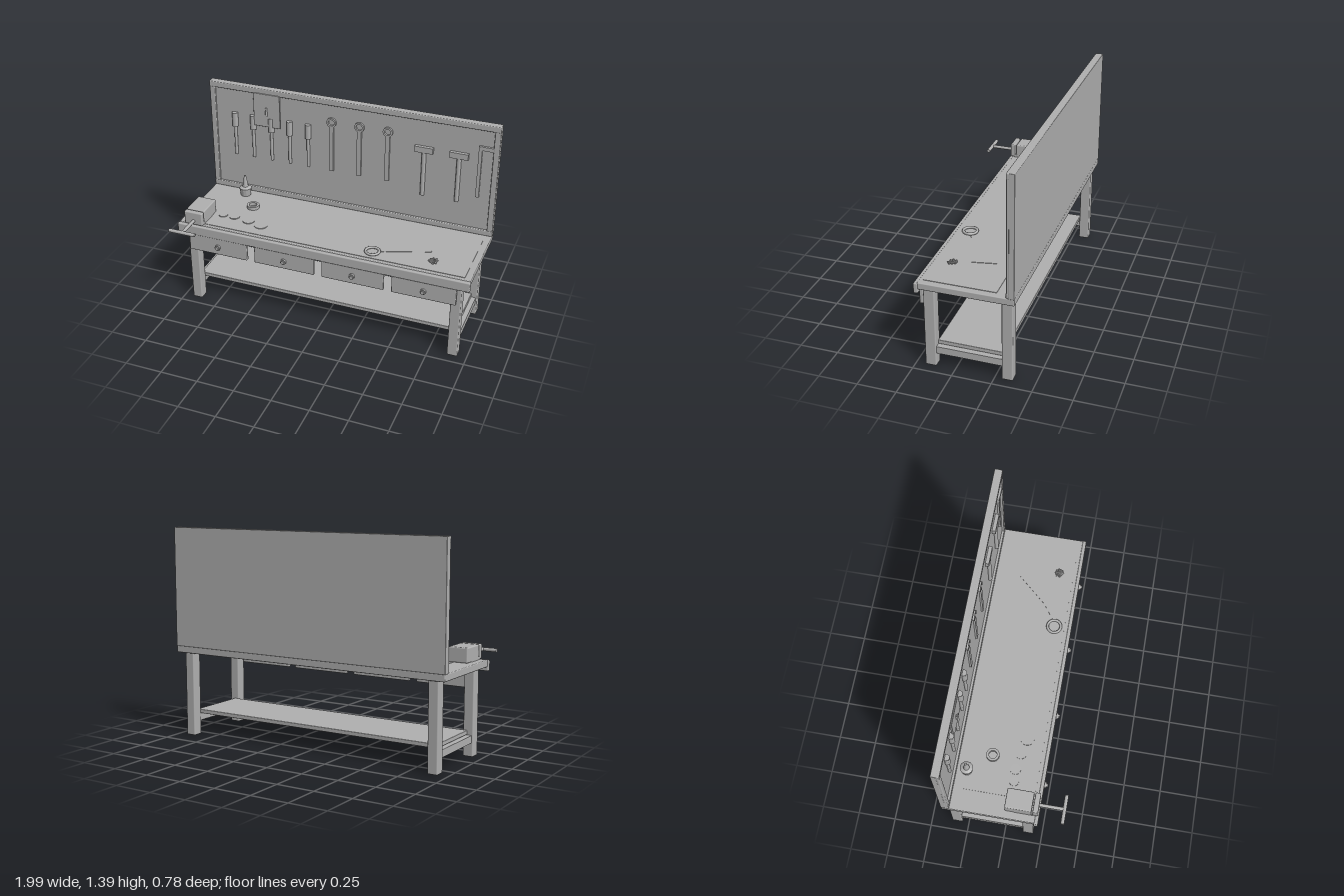
import * as THREE from 'three';
import { RoundedBoxGeometry } from 'three/addons/geometries/RoundedBoxGeometry.js';

export function createModel() {
  const group = new THREE.Group();
  const grey = new THREE.MeshStandardMaterial({ color: 0xb0b0b0 });
  grey.name = 'workshopGrey';

  const add = (name, geometry, x = 0, y = 0, z = 0) => {
    const mesh = new THREE.Mesh(geometry, grey);
    mesh.name = name;
    mesh.position.set(x, y, z);
    group.add(mesh);
    return mesh;
  };
  // Box given by its limits on each axis, with an optional rounded edge
  const box = (name, x0, x1, y0, y1, z0, z1, r = 0) => {
    const size = [x1 - x0, y1 - y0, z1 - z0];
    const geometry = r ? new RoundedBoxGeometry(...size, 2, r) : new THREE.BoxGeometry(...size);
    return add(name, geometry, (x0 + x1) / 2, (y0 + y1) / 2, (z0 + z1) / 2);
  };
  // Cylinder along a chosen axis
  const rod = (name, r, length, x, y, z, axis = 'y', sides = 16) => {
    const geometry = new THREE.CylinderGeometry(r, r, length, sides);
    if (axis === 'x') geometry.rotateZ(Math.PI / 2);
    if (axis === 'z') geometry.rotateX(Math.PI / 2);
    return add(name, geometry, x, y, z);
  };
  // Flat ring with a square section, turned about y
  const ringGeometry = (outer, inner, height) => new THREE.LatheGeometry(
    [[inner, 0], [outer, 0], [outer, 0], [outer, height], [outer, height], [inner, height], [inner, height], [inner, 0]]
      .map(([r, y]) => new THREE.Vector2(r, y)), 32);

  // Table
  box('tableTop', -0.99, 0.99, 0.56, 0.605, -0.388, 0.205, 0.006);
  box('frontApron', -0.995, 0.995, 0.533, 0.602, 0.198, 0.227, 0.008);
  box('workMat', -0.85, 0.95, 0.604, 0.608, -0.27, 0.18);

  // Legs, side stretchers and lower shelf
  for (const side of [-1, 1]) {
    const x = side * 0.905;
    box('frontLeg', x - 0.034, x + 0.034, 0, 0.562, 0.119, 0.19, 0.008);
    box('backLeg', x - 0.034, x + 0.034, 0, 0.562, -0.364, -0.294, 0.008);
    box('sideStretcher', x - 0.025, x + 0.025, 0.09, 0.137, -0.3, 0.125);
  }
  box('lowerShelf', -0.9, 0.9, 0.14, 0.167, -0.294, 0.119, 0.004);

  // Drawers with round knobs
  for (let i = 0; i < 4; i++) {
    const x = -0.706 + i * 0.47;
    box('drawerFront', x - 0.209, x + 0.209, 0.415, 0.537, 0.2, 0.224, 0.006);
    rod('drawerKnob', 0.019, 0.014, x, 0.473, 0.23, 'z');
    rod('drawerKnobCap', 0.012, 0.01, x, 0.473, 0.241, 'z');
  }

  // Back panel and its frame
  box('backPanel', -0.992, 0.992, 0.603, 1.39, -0.388, -0.353, 0.004);
  box('frameTop', -0.992, 0.992, 1.35, 1.39, -0.36, -0.336, 0.006);
  box('frameBottom', -0.992, 0.992, 0.605, 0.642, -0.36, -0.336, 0.006);
  for (const side of [-1, 1]) {
    const x = side * 0.972;
    box('frameSide', x - 0.019, x + 0.019, 0.63, 1.36, -0.36, -0.338, 0.006);
  }

  // Screwdrivers
  for (let i = 0; i < 5; i++) {
    const x = -0.815 + i * 0.132;
    rod('screwdriverHandle', 0.0215, 0.1, x, 1.135, -0.345, 'y', 8);
    rod('screwdriverShaft', 0.011, 0.212, x, 0.981, -0.345, 'y', 8);
  }

  // Ring spanners
  for (let i = 0; i < 3; i++) {
    const x = -0.123 + i * 0.193;
    add('spannerRing', ringGeometry(0.033, 0.021, 0.014).rotateX(Math.PI / 2), x, 1.227, -0.354);
    box('spannerShaft', x - 0.015, x + 0.015, 0.875, 1.202, -0.354, -0.341);
  }

  // Hammers
  for (const x of [0.508, 0.738]) {
    box('hammerHead', x - 0.061, x + 0.061, 1.13, 1.17, -0.356, -0.33);
    rod('hammerHandle', 0.015, 0.31, x, 0.975, -0.346, 'y', 8);
  }

  // Try square
  box('squareBlade', 0.86, 0.882, 0.875, 1.24, -0.355, -0.341);
  box('squareArm', 0.86, 0.955, 1.212, 1.238, -0.355, -0.338);

  // Pinned sheet
  box('pinnedSheet', -0.67, -0.481, 1.122, 1.358, -0.342, -0.33, 0.003);
  rod('sheetPin', 0.008, 0.06, -0.578, 1.232, -0.331, 'y', 8);

  // Vise
  box('viseBody', -0.943, -0.815, 0.605, 0.7, 0.008, 0.177, 0.008);
  box('viseBase', -0.943, -0.815, 0.605, 0.625, 0.07, 0.19);
  box('viseJaw', -0.943, -0.815, 0.607, 0.7, 0.185, 0.219, 0.008);
  rod('viseScrew', 0.011, 0.22, -0.877, 0.637, 0.265, 'z');
  rod('viseHandle', 0.012, 0.185, -0.88, 0.637, 0.377, 'x');

  // Nozzle bottle
  const bottle = [[0, 0], [0.034, 0], [0.042, 0.058], [0.03, 0.065], [0.02, 0.068], [0.007, 0.15], [0, 0.15]];
  const bottleGeometry = new THREE.LatheGeometry(bottle.map(([r, y]) => new THREE.Vector2(r, y)), 12).toNonIndexed();
  bottleGeometry.computeVertexNormals();
  add('nozzleBottle', bottleGeometry, -0.727, 0.605, -0.272);

  // Tape roll and flat discs
  add('tapeRoll', ringGeometry(0.042, 0.026, 0.024), -0.605, 0.606, -0.127);
  [[-0.75, 0.035, 0.03], [-0.67, 0.03, 0.035], [-0.56, 0.045, 0.04], [-0.46, 0.07, 0.045]]
    .forEach(([x, z, r]) => rod('flatDisc', r, 0.006, x, 0.61, z, 'y', 24));

  // Hand saw with a ring grip
  add('sawGrip', new THREE.TorusGeometry(0.044, 0.009, 8, 32).rotateX(Math.PI / 2), 0.33, 0.617, 0.112);
  const blade = new THREE.Shape([[0.37, -0.1], [0.4, -0.08], [0.47, -0.057], [0.68, 0.02], [0.65, 0.17], [0.48, -0.02]]
    .map(([x, y]) => new THREE.Vector2(x, y)));
  add('sawBlade', new THREE.ExtrudeGeometry(blade, { depth: 0.004, bevelEnabled: false }).rotateX(-Math.PI / 2), 0, 0.607, 0);

  // Small pile of screws
  for (let i = 0; i < 9; i++) {
    const angle = i * 2.4;
    const r = 0.008 * Math.sqrt(i);
    const screw = rod('looseScrew', 0.005, 0.034, 0.72 + r * Math.cos(angle), 0.613 + (i % 3) * 0.003, 0.083 + r * Math.sin(angle), 'x', 6);
    screw.rotation.y = angle * 1.7;
  }

  return group;
}
